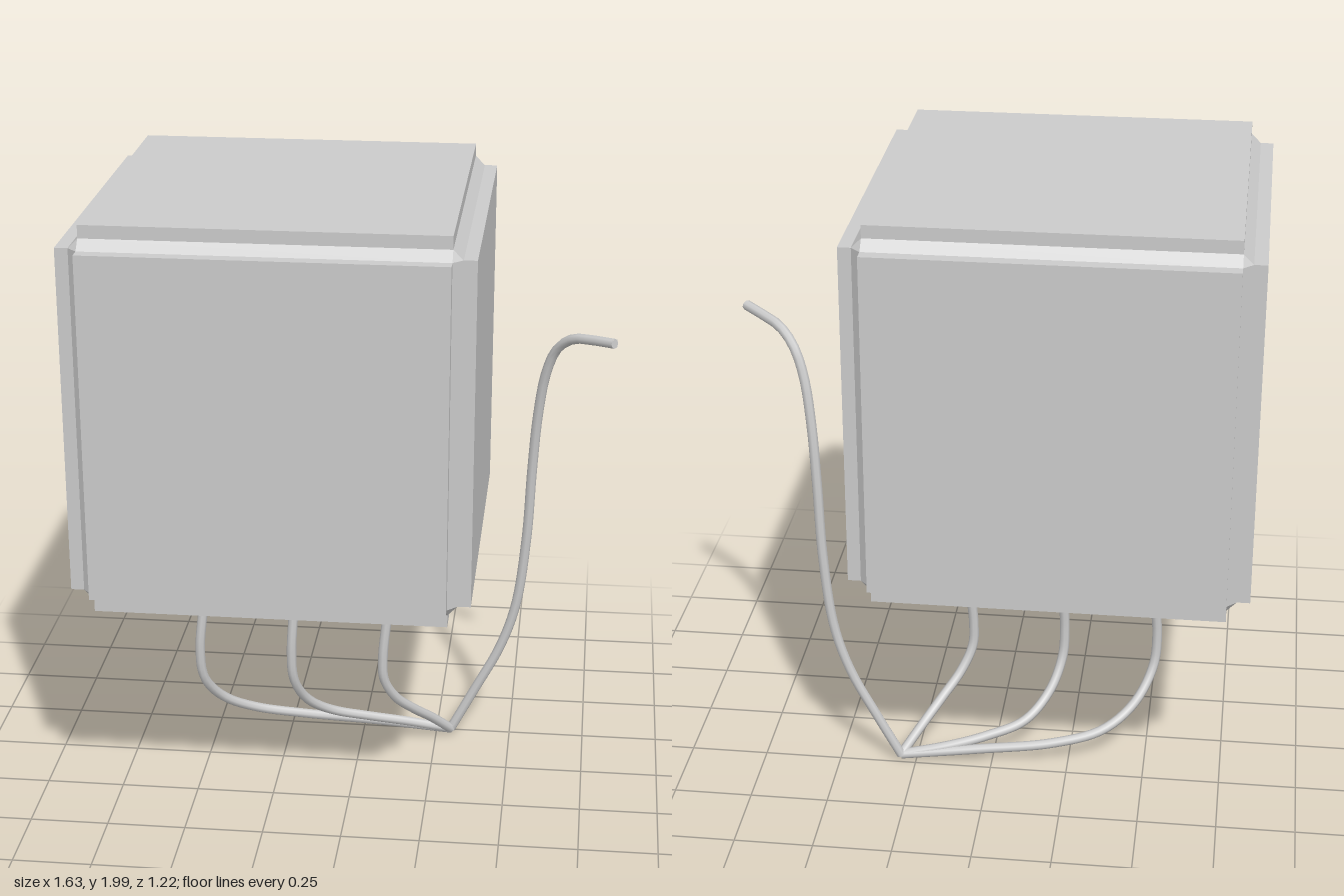
import * as THREE from 'three';
import { ConvexGeometry } from 'three/addons/geometries/ConvexGeometry.js';

const CORE = 0.57, FACE = 0.54, OUTER = 0.61, WIRE = 0.016;

export function createModel() {
  const root = new THREE.Group();
  root.name = 'cubeWithWires';
  const mat = new THREE.MeshStandardMaterial({ color: 0xcccccc, flatShading: true });
  const wireMat = new THREE.MeshStandardMaterial({ color: 0xcccccc });
  const add = (parent, geo, name, m = mat) => {
    const mesh = new THREE.Mesh(geo, m);
    mesh.name = name;
    parent.add(mesh);
    return mesh;
  };

  // Cube: chamfered core with a raised panel on each side
  const cube = new THREE.Group();
  cube.name = 'cube';
  cube.position.set(-0.21, 1.39, 0);
  root.add(cube);

  const corners = [];
  for (const x of [-1, 1]) for (const y of [-1, 1]) for (const z of [-1, 1]) {
    corners.push(
      new THREE.Vector3(x * CORE, y * FACE, z * FACE),
      new THREE.Vector3(x * FACE, y * CORE, z * FACE),
      new THREE.Vector3(x * FACE, y * FACE, z * CORE));
  }
  add(cube, new ConvexGeometry(corners), 'chamferedCore');

  const depth = OUTER - CORE;
  for (const axis of ['x', 'y', 'z']) for (const side of [-1, 1]) {
    const size = { x: 2 * FACE, y: 2 * FACE, z: 2 * FACE, [axis]: depth };
    const panel = add(cube, new THREE.BoxGeometry(size.x, size.y, size.z), 'panel');
    panel.position[axis] = side * (CORE + depth / 2);
  }

  // Wires: round tubes with flat end caps
  function wire(points, name) {
    const group = new THREE.Group();
    group.name = name;
    root.add(group);
    const curve = new THREE.CatmullRomCurve3(points.map(p => new THREE.Vector3(...p)));
    add(group, new THREE.TubeGeometry(curve, 48, WIRE, 8), 'wireTube', wireMat);
    for (const t of [0, 1]) {
      const cap = add(group, new THREE.CircleGeometry(WIRE, 8), 'wireEnd', wireMat);
      cap.position.copy(curve.getPointAt(t));
      const out = curve.getTangentAt(t).multiplyScalar(t ? 1 : -1);
      cap.quaternion.setFromUnitVectors(new THREE.Vector3(0, 0, 1), out);
    }
  }

  // The lower wires share one depth profile: [height, z]
  const profile = [[0.02, -0.23], [0.06, -0.205], [0.095, -0.165], [0.145, -0.11],
    [0.2, -0.06], [0.255, -0.018], [0.335, 0.008], [0.4, 0.008], [0.56, 0]];
  const depthAt = y => {
    let i = 1;
    while (i < profile.length - 1 && profile[i][0] < y) i++;
    const [y0, z0] = profile[i - 1], [y1, z1] = profile[i];
    return THREE.MathUtils.mapLinear(y, y0, y1, z0, z1);
  };
  const joint = [0.3, 0.025];
  const lower = {
    longLowerWire: [[-0.51, 0.56], [-0.524, 0.4], [-0.515, 0.29], [-0.46, 0.185],
      [-0.36, 0.115], [-0.2, 0.078], [0.05, 0.052], joint],
    middleLowerWire: [[-0.21, 0.56], [-0.218, 0.4], [-0.212, 0.3], [-0.175, 0.2],
      [-0.1, 0.125], [0.02, 0.085], [0.15, 0.055], joint],
    shortLowerWire: [[0.1, 0.56], [0.086, 0.4], [0.09, 0.32], [0.125, 0.24],
      [0.18, 0.17], [0.24, 0.1], joint],
  };
  for (const [name, pts] of Object.entries(lower)) {
    wire(pts.map(([x, y]) => [x, y, depthAt(y)]), name);
  }

  // Tall wire rising beside the cube and bending forward at the top
  wire([[0.3, 0.025, -0.23], [0.38, 0.18, -0.235], [0.46, 0.34, -0.235], [0.51, 0.5, -0.232],
    [0.54, 0.75, -0.225], [0.552, 1.0, -0.215], [0.566, 1.2, -0.198], [0.588, 1.35, -0.175],
    [0.62, 1.44, -0.15], [0.67, 1.49, -0.107], [0.73, 1.505, -0.058], [0.8, 1.515, 0]], 'tallWire');

  return root;
}
